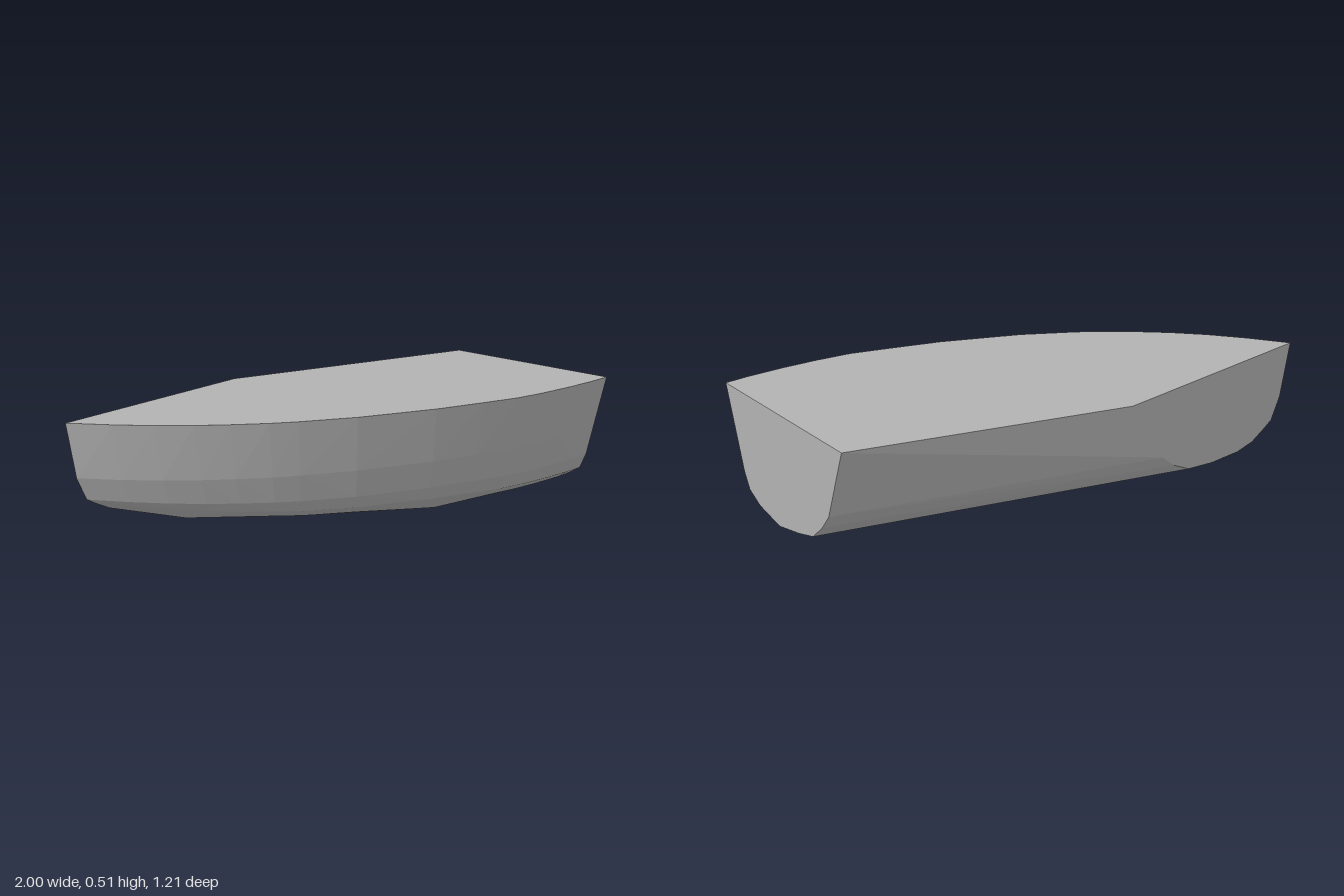
import * as THREE from 'three';
import { ConvexGeometry } from 'three/addons/geometries/ConvexGeometry.js';

const TOP = 0.515;
const lerp = THREE.MathUtils.lerp;

// Flat-topped boulder fragment: curved outer flank, three cut faces, shallow keel
export function createModel() {
  const group = new THREE.Group();
  const stone = new THREE.MeshStandardMaterial({ color: 0xb2b2b2 });
  stone.name = 'stone grey';
  const points = [];
  const add = (x, y, z) => points.push(new THREE.Vector3(x, y, z));

  // Curved rim of the top, from the +x cut round to the back cut (x, z)
  const rim = [
    [1, 0.605], [0.9, 0.598], [0.75, 0.578], [0.6, 0.55], [0.46, 0.515], [0.3, 0.45],
    [0.1, 0.365], [-0.2, 0.205], [-0.4, 0.07], [-0.49, 0], [-0.6, -0.1], [-0.7, -0.2],
    [-0.8, -0.315], [-0.9, -0.45], [-1, -0.605],
  ];
  // Flank profile at each end of the rim: inset, height
  const startProfile = [[0, TOP], [0.055, 0.28], [0.085, 0.15], [0.115, 0.08], [0.185, 0.035]];
  const endProfile = [[0, TOP], [0.04, 0.28], [0.085, 0.18], [0.13, 0.153], [0.2, 0.115]];
  rim.forEach(([x, z], i) => {
    const t = i / (rim.length - 1);
    const angle = t * Math.PI / 2;
    startProfile.forEach(([inset, height], k) => {
      const d = lerp(inset, endProfile[k][0], t);
      const y = lerp(height, endProfile[k][1], t * t);
      add(x + d * Math.sin(angle), y, z - d * Math.cos(angle));
    });
  });

  // Rest of the +x cut outline (z, y)
  for (const [z, y] of [[0.28, 0], [0.14, 0.03], [0.04, 0.06], [-0.03, 0.13], [-0.08, 0.2], [-0.19, TOP]]) add(1, y, z);
  // Rest of the back cut outline (x, y)
  for (const [x, y] of [[-0.71, 0.098], [-0.55, 0.102], [-0.41, 0.122], [-0.32, 0.17], [-0.25, 0.23], [-0.07, TOP]]) add(x, y, -0.605);
  // Keel along the underside
  for (const [x, y, z] of [[0.75, 0.002, 0.28], [0.3, 0.011, 0.21], [-0.2, 0.044, -0.11], [-0.6, 0.072, -0.37]]) add(x, y, z);

  const rock = new THREE.Mesh(new ConvexGeometry(points), stone);
  rock.name = 'rockFragment';
  group.add(rock);
  return group;
}
